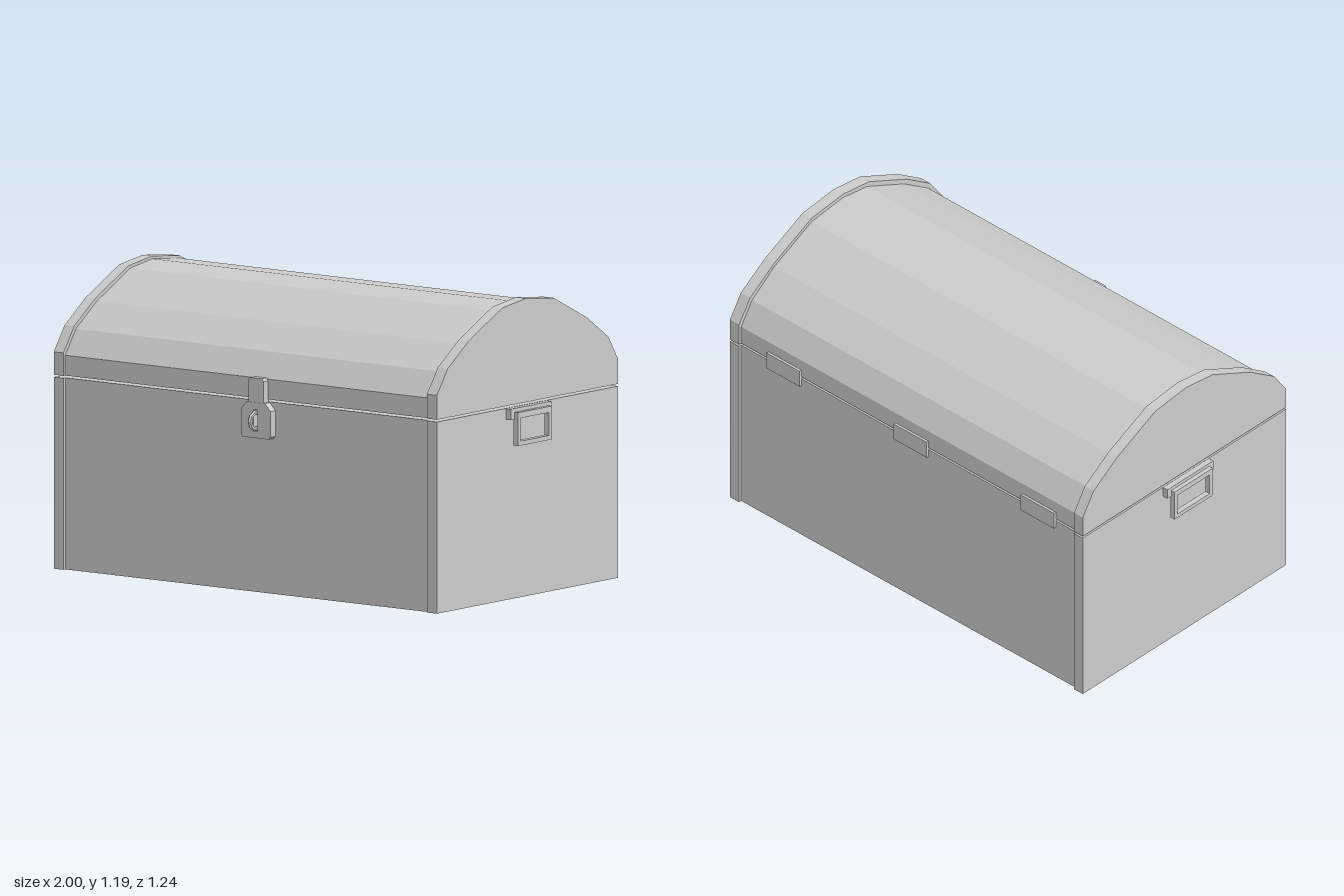
import * as THREE from 'three';

const grey = new THREE.MeshStandardMaterial({ color: 0xcccccc, flatShading: true });

// Arched lid outline as [z, y], front to back
const ARCH = [
  [0.557, 0.875], [0.487, 0.973], [0.35, 1.068], [0.133, 1.173], [-0.02, 1.193],
  [-0.2, 1.173], [-0.417, 1.068], [-0.557, 0.973], [-0.62, 0.875],
];
const SEAM = 0.768, LID = 0.777;

export function createModel() {
  const chest = new THREE.Group();
  chest.name = 'chest';

  const add = (name, geometry, parent = chest) => {
    const mesh = new THREE.Mesh(geometry, grey);
    mesh.name = name;
    parent.add(mesh);
    return mesh;
  };
  // Box given by its limits on each axis
  const box = (name, [x0, x1], [y0, y1], [z0, z1], parent) => add(name,
    new THREE.BoxGeometry(x1 - x0, y1 - y0, z1 - z0)
      .translate((x0 + x1) / 2, (y0 + y1) / 2, (z0 + z1) / 2), parent);
  const outline = (pts) => new THREE.Shape(pts.map(([a, b]) => new THREE.Vector2(a, b)));
  // Extrudes a (z, y) outline along x from x0 to x1
  const alongX = (shape, x0, x1) =>
    new THREE.ExtrudeGeometry(shape, { depth: x1 - x0, bevelEnabled: false })
      .rotateY(-Math.PI / 2).translate(x1, 0, 0);
  const lidShape = (inset, drop) => outline([
    [0.557 - inset, LID],
    ...ARCH.map(([z, y]) => [z + (z > 0 ? -inset : z < -0.5 ? inset : 0), y - drop]),
    [-0.62 + inset, LID],
  ]);

  // Lower box with slightly proud end panels
  box('body', [-0.92, 0.92], [0, SEAM], [-0.608, 0.544]);
  box('rightEndPanel', [-0.958, -0.91], [0, SEAM], [-0.62, 0.557]);
  box('leftEndPanel', [0.907, 0.957], [0, SEAM], [-0.62, 0.557]);
  // Inner lip closing the seam
  box('innerLip', [-0.9, 0.885], [SEAM - 0.02, LID + 0.02], [-0.53, 0.468]);

  // Faceted barrel lid and its end caps
  add('lid', alongX(lidShape(0.012, 0.017), -0.92, 0.92));
  add('rightLidCap', alongX(lidShape(0, 0.006), -0.958, -0.91));
  add('leftLidCap', alongX(lidShape(0, 0), 0.907, 0.957));

  // Hinges along the back of the seam
  for (const x of [-0.71, -0.02, 0.67]) {
    box('hinge', [x - 0.09, x + 0.09], [0.735, 0.81], [-0.619, -0.6]);
  }

  // Lock: plate with clipped top corners, hasp and staple
  const lock = new THREE.Group();
  lock.name = 'lock';
  lock.position.x = 0.066;
  chest.add(lock);
  const plate = outline([
    [-0.064, 0.622], [0.064, 0.622], [0.074, 0.632], [0.074, 0.735], [0.045, 0.765],
    [-0.045, 0.765], [-0.074, 0.735], [-0.074, 0.632],
  ]);
  plate.holes.push(outline([[-0.01, 0.65], [-0.01, 0.735], [0.01, 0.735], [0.01, 0.65]]));
  add('lockPlate', new THREE.ExtrudeGeometry(plate, { depth: 0.034, bevelEnabled: false })
    .translate(0, 0, 0.542), lock);
  const hasp = outline([
    [-0.037, 0.755], [0.037, 0.755], [0.037, 0.852], [0.029, 0.862], [-0.029, 0.862], [-0.037, 0.852],
  ]);
  add('hasp', new THREE.ExtrudeGeometry(hasp, { depth: 0.032, bevelEnabled: false })
    .translate(0, 0, 0.542), lock);
  add('staple', new THREE.TorusGeometry(0.034, 0.009, 6, 10)
    .scale(1.2, 1, 0.9).rotateY(Math.PI / 2).translate(0, 0.692, 0.573), lock);

  // Handles: bracket and hanging rectangular ring on each end
  for (const side of [1, -1]) {
    const handle = new THREE.Group();
    handle.name = side > 0 ? 'leftHandle' : 'rightHandle';
    chest.add(handle);
    const span = (a, b) => (side > 0 ? [a, b] : [-b, -a]);
    box('bracketBar', span(0.95, 0.982), [0.75, 0.767], [-0.155, 0.11], handle);
    box('bracketEar', span(0.95, 0.982), [0.724, 0.76], [0.07, 0.11], handle);
    box('bracketEar', span(0.95, 0.982), [0.724, 0.76], [-0.155, -0.115], handle);
    const ring = outline([[-0.133, 0.618], [0.087, 0.618], [0.087, 0.752], [-0.133, 0.752]]);
    ring.holes.push(outline([[-0.115, 0.636], [-0.115, 0.728], [0.069, 0.728], [0.069, 0.636]]));
    add('ring', alongX(ring, ...span(0.977, 1)), handle);
  }
  return chest;
}
